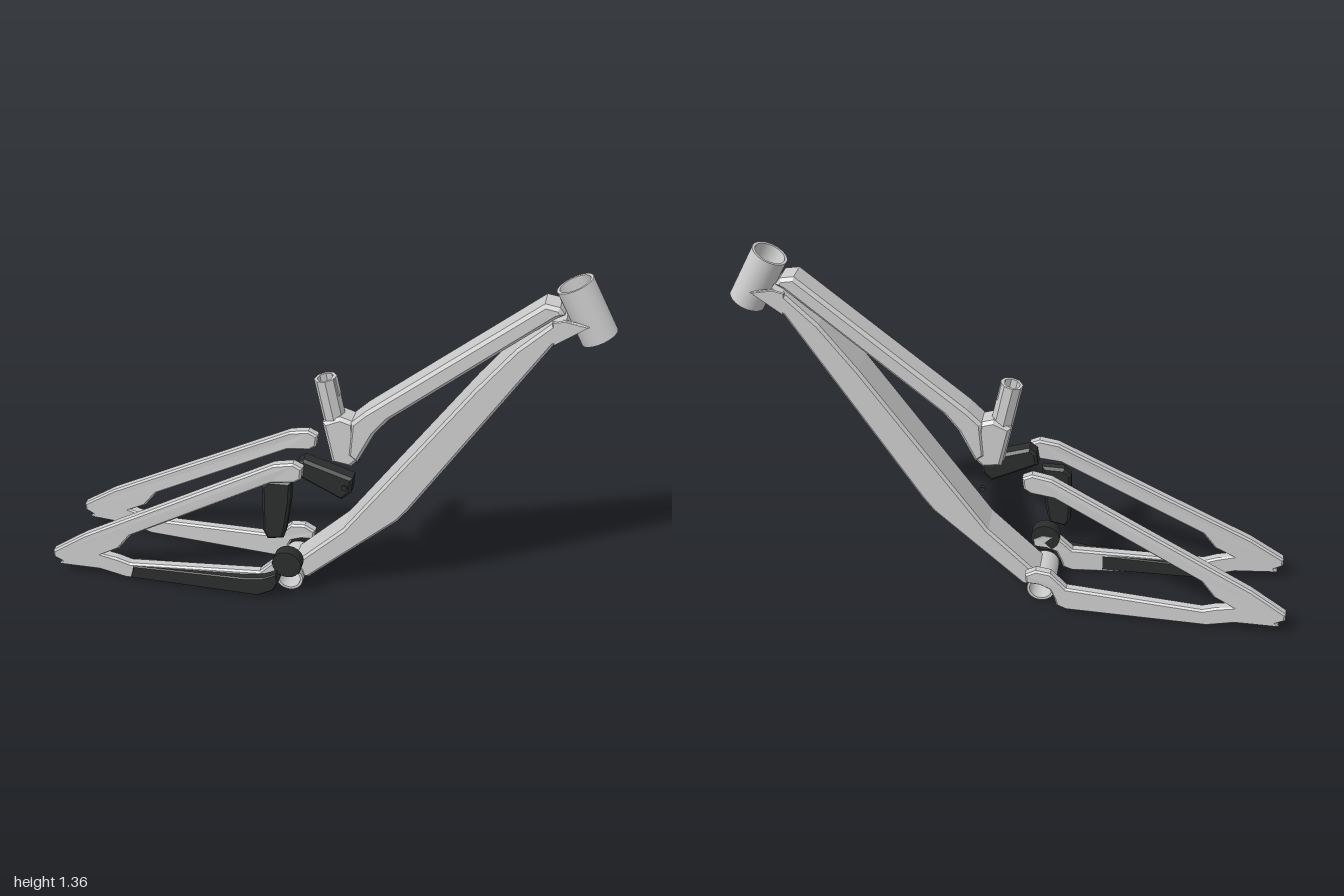
import * as THREE from 'three';

const grey = new THREE.MeshStandardMaterial({ color: 0xcccccc });
const dark = new THREE.MeshStandardMaterial({ color: 0x2b2d2d });

// Side outline extruded from z0 to z1 with a chamfered rim
function plate(points, z0, z1, bevel) {
  const shape = new THREE.Shape(points.map(([x, y]) => new THREE.Vector2(x, y)));
  const geo = new THREE.ExtrudeGeometry(shape, {
    depth: z1 - z0 - 2 * bevel, bevelEnabled: bevel > 0, bevelThickness: bevel,
    bevelSize: bevel, bevelOffset: -bevel, bevelSegments: 1,
  });
  return geo.translate(0, 0, z0 + bevel);
}

// Open tube of given wall, centred on the origin along z
function tube(outer, inner, length, segments = 40) {
  const h = length / 2;
  const profile = [[inner, -h], [outer, -h], [outer, -h], [outer, h], [outer, h], [inner, h], [inner, h], [inner, -h]];
  const geo = new THREE.LatheGeometry(profile.map(([r, y]) => new THREE.Vector2(r, y)), segments);
  return geo.rotateX(Math.PI / 2);
}

export function createModel() {
  const group = new THREE.Group();
  const add = (name, geo, mat = grey) => {
    const mesh = new THREE.Mesh(geo, mat);
    mesh.name = name;
    group.add(mesh);
    return mesh;
  };
  // Places a z-aligned tube between two points of the side plane
  const between = (mesh, [ax, ay], [bx, by]) => {
    mesh.position.set((ax + bx) / 2, (ay + by) / 2, 0);
    mesh.quaternion.setFromUnitVectors(new THREE.Vector3(0, 0, 1),
      new THREE.Vector3(bx - ax, by - ay, 0).normalize());
  };

  // Head tube
  between(add('headTube', tube(0.064, 0.054, 0.205)), [0.944, 1.152], [0.848, 1.334]);

  // Down tube, with cheeks that clasp the head tube
  add('downTube', plate([
    [-0.05, 0.055], [-0.03, 0.058], [0.3, 0.36], [0.342, 0.417], [0.8, 1.135],
    [0.865, 1.175], [0.835, 1.232], [0.8, 1.222], [0.68, 1.105], [0.55, 0.935],
    [0.1, 0.295], [-0.09, 0.108], [-0.06, 0.088],
  ], -0.072, 0.072, 0.01));
  for (const side of [-1, 1]) {
    add('headCheek', plate([[0.79, 1.22], [0.8, 1.135], [0.91, 1.215], [0.83, 1.23]],
      side * 0.064 - 0.008, side * 0.064 + 0.008, 0.003));
  }

  // Top tube
  add('topTube', plate([
    [0.11, 0.6], [0.145, 0.575], [0.205, 0.7], [0.255, 0.765], [0.8, 1.222],
    [0.828, 1.238], [0.81, 1.262], [0.76, 1.27], [0.17, 0.785], [0.12, 0.735],
  ], -0.052, 0.052, 0.012));

  // Seat tube: gusset, hollow mast and clamp tab
  add('seatGusset', plate([
    [0.052, 0.56], [0.12, 0.55], [0.148, 0.58], [0.13, 0.735], [0.08, 0.75], [0.016, 0.72],
  ], -0.046, 0.046, 0.012));
  const mast = add('seatMast', tube(0.041, 0.03, 0.32, 8).rotateZ(Math.PI / 8).toNonIndexed());
  mast.geometry.computeVertexNormals();
  between(mast, [0.086, 0.57], [0.018, 0.883]);
  const tab = add('seatClamp', new THREE.BoxGeometry(0.015, 0.07, 0.03));
  tab.position.set(0.057, 0.855, 0);
  tab.rotation.z = 0.22;

  // Bottom bracket shell
  add('bottomBracket', tube(0.052, 0.042, 0.17)).position.set(-0.1, 0.055, 0);

  // Rear triangles, splayed outwards towards the dropouts
  const stay = [
    [-1, 0.1], [-1, 0.07], [-0.97, 0.055], [-0.98, 0.04], [-0.82, 0.035], [-0.72, 0.01],
    [-0.2, 0.008], [-0.165, 0.022], [-0.155, 0.055], [-0.138, 0.092], [-0.1, 0.108],
    [-0.05, 0.112], [-0.045, 0.15], [-0.085, 0.172], [-0.14, 0.165], [-0.2, 0.105],
    [-0.7, 0.078], [-0.75, 0.095], [-0.81, 0.105], [-0.74, 0.14], [-0.69, 0.205],
    [-0.15, 0.5], [-0.065, 0.512], [-0.04, 0.53], [-0.035, 0.575], [-0.07, 0.592],
    [-0.14, 0.578], [-0.87, 0.187],
  ];
  for (const side of [1, -1]) {
    const geo = plate(stay, -0.02, 0.02, 0.007);
    const p = geo.attributes.position;
    for (let i = 0; i < p.count; i++) {
      const t = Math.min(1, (-0.1 - p.getX(i)) / 0.9);
      p.setZ(i, p.getZ(i) + side * (0.116 + 0.05 * Math.max(0, t)));
    }
    geo.computeVertexNormals();
    add(side > 0 ? 'leftRearTriangle' : 'rightRearTriangle', geo);
  }

  // Chainstay guard
  add('chainstayGuard', plate([
    [-0.7, 0.015], [-0.2, 0.018], [-0.14, 0.05], [-0.12, 0.09], [-0.13, 0.125],
    [-0.18, 0.1], [-0.25, 0.088], [-0.685, 0.07],
  ], 0.108, 0.172, 0.004), dark);

  // Lower pivot cap
  const cap = add('pivotCap', new THREE.CylinderGeometry(0.055, 0.055, 0.045, 20).rotateX(Math.PI / 2), dark);
  cap.position.set(-0.095, 0.155, 0.12);

  // Shock body
  add('shock', plate([
    [-0.192, 0.27], [-0.175, 0.235], [-0.115, 0.248], [-0.105, 0.28], [-0.085, 0.42],
    [-0.083, 0.495], [-0.165, 0.492], [-0.192, 0.465],
  ], 0.068, 0.112, 0.01), dark);

  // Rocker link and its bolts
  add('rockerLink', plate([
    [-0.072, 0.522], [0.1, 0.44], [0.135, 0.475], [0.14, 0.535], [-0.04, 0.59], [-0.065, 0.57],
  ], 0.036, 0.098, 0.01), dark);
  for (const z of [0.098, -0.1]) {
    const bolt = add('rockerBolt', new THREE.CylinderGeometry(0.011, 0.011, 0.012, 12).rotateX(Math.PI / 2), dark);
    bolt.position.set(0.112, 0.497, z);
  }

  return group;
}
